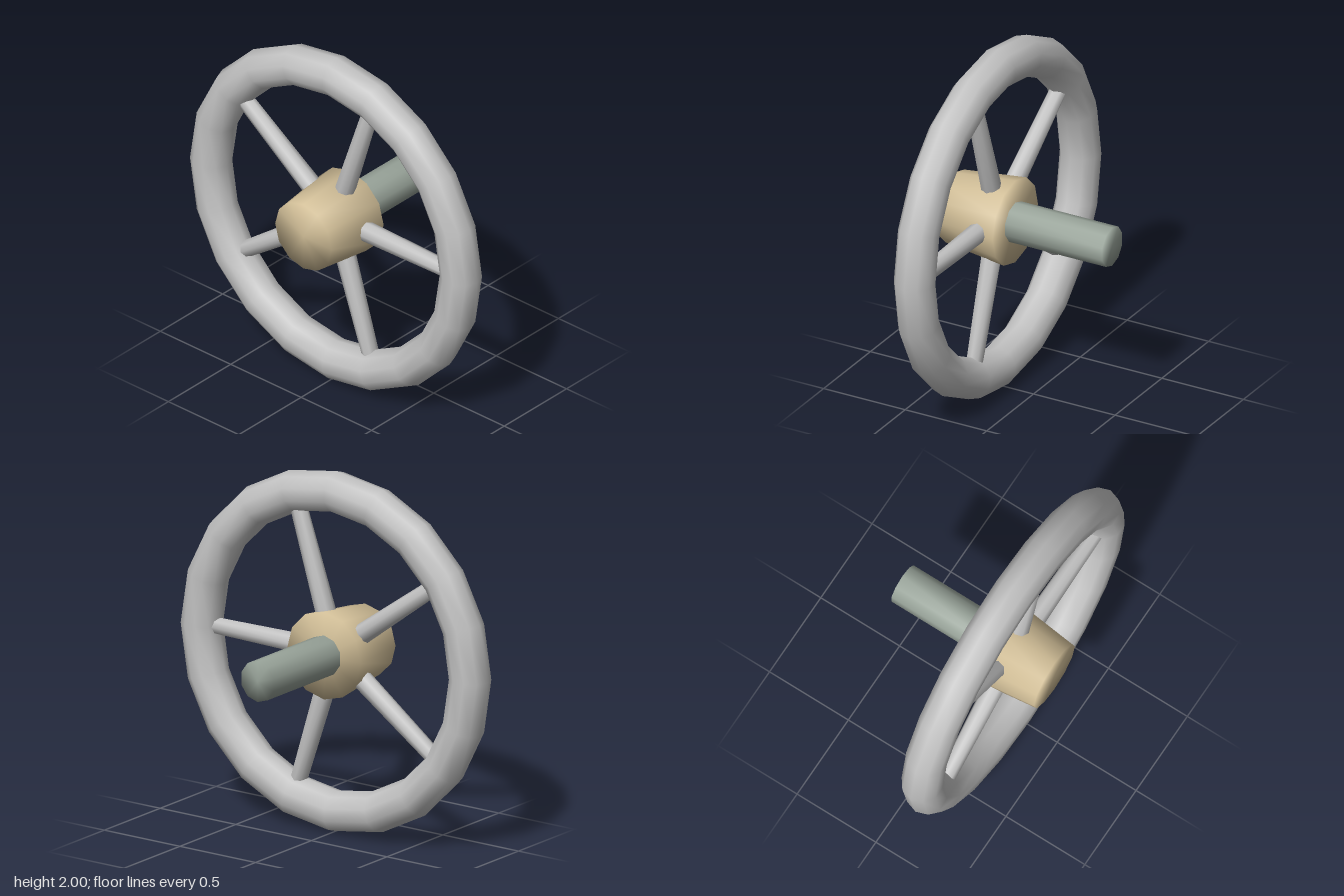
import * as THREE from 'three';
import { mergeVertices } from 'three/addons/utils/BufferGeometryUtils.js';

const WHEEL_Z = 0.22; // plane of the rim and spokes

// Capped cylinder with normals shared across the cap edges
function softCylinder(rTop, rBottom, length, sides) {
  const geo = new THREE.CylinderGeometry(rTop, rBottom, length, sides);
  geo.deleteAttribute('uv');
  geo.deleteAttribute('normal');
  const merged = mergeVertices(geo, 1e-4);
  merged.computeVertexNormals();
  return merged;
}

function material(name, color) {
  const m = new THREE.MeshStandardMaterial({ color });
  m.name = name;
  return m;
}

export function createModel() {
  const model = new THREE.Group();
  model.name = 'wheel';
  const grey = material('light grey', 0xc2c2c2);
  const tan = material('tan', 0xd2bf98);
  const greenGrey = material('green grey', 0x98a399);

  const add = (name, geo, mat, parent = model) => {
    const mesh = new THREE.Mesh(geo, mat);
    mesh.name = name;
    parent.add(mesh);
    return mesh;
  };

  // Rim
  add('rim', new THREE.TorusGeometry(0.887, 0.113, 10, 20), grey).position.set(0, 1, WHEEL_Z);

  // Five tapered spokes, the first pointing to +x
  const spokes = new THREE.Group();
  spokes.name = 'spokes';
  spokes.position.set(0, 1, WHEEL_Z);
  model.add(spokes);
  const spokeGeo = softCylinder(0.046, 0.058, 0.74, 8);
  spokeGeo.translate(0, 0.46, 0);
  for (let i = 0; i < 5; i++) {
    add('spoke', spokeGeo, grey, spokes).rotation.z = (i * 2 * Math.PI) / 5 - Math.PI / 2;
  }

  // Hub, narrowing to the front
  const hub = add('hub', softCylinder(0.2, 0.243, 0.37, 12), tan);
  hub.rotation.x = Math.PI / 2;
  hub.position.set(0, 1, 0.297);

  // Axle running back from the hub
  const axle = add('axle', softCylinder(0.113, 0.113, 0.68, 10), greenGrey);
  axle.rotation.x = Math.PI / 2;
  axle.position.set(0, 1, -0.142);

  return model;
}
